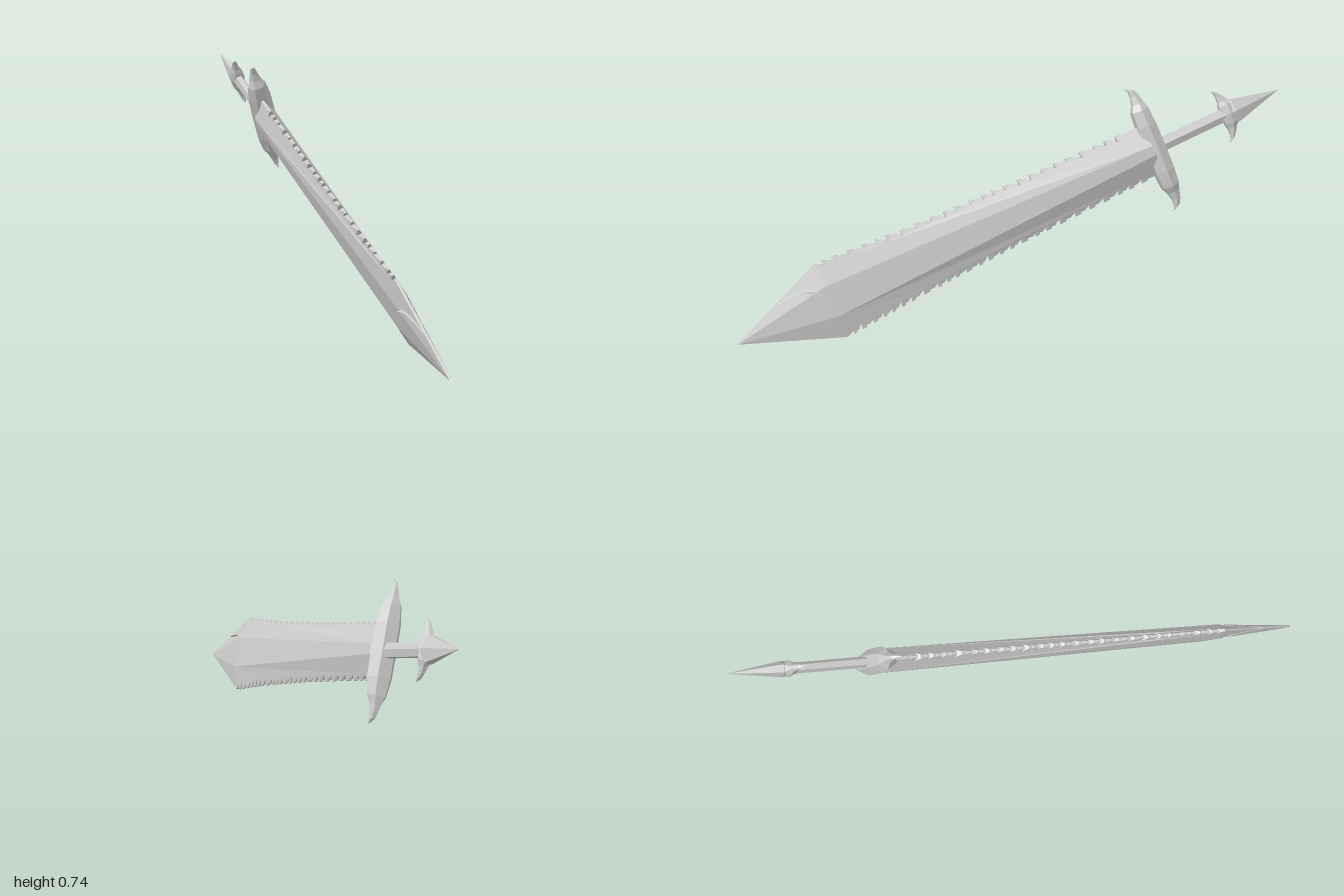
import * as THREE from 'three';

const material = new THREE.MeshStandardMaterial({ color: 0xcccccc, flatShading: true });

function meshFrom(positions, name) {
  const g = new THREE.BufferGeometry();
  g.setAttribute('position', new THREE.Float32BufferAttribute(positions, 3));
  g.computeVertexNormals();
  const mesh = new THREE.Mesh(g, material);
  mesh.name = name;
  return mesh;
}

// Hexagonal loft along x; stations are [x, y offset, half height, half depth].
function loft(stations, name) {
  const section = [[1, 0.5], [0, 1], [-1, 0.5], [-1, -0.5], [0, -1], [1, -0.5]];
  const out = [];
  const point = ([x, y, hy, hz], k) => [x, y + hy * section[k % 6][0], hz * section[k % 6][1]];
  for (let i = 0; i < stations.length - 1; i++) {
    for (let k = 0; k < 6; k++) {
      const a = point(stations[i], k), b = point(stations[i], k + 1);
      const c = point(stations[i + 1], k + 1), d = point(stations[i + 1], k);
      out.push(...a, ...b, ...c, ...a, ...c, ...d);
    }
  }
  return meshFrom(out, name);
}

// Crossbar lofted along y, mirrored from one half: [y, x, half x, half z].
function crossbar(half, name) {
  const lower = half.slice(1).reverse().map(([y, ...rest]) => [-y, ...rest]);
  const stations = [...lower, ...half].map(([y, x, hx, hz]) => [y, -x, hx, hz]);
  const mesh = loft(stations, name);
  mesh.geometry.rotateZ(Math.PI / 2);
  return mesh;
}

// Piecewise linear curve through [x, value] knots.
function curve(knots) {
  return (x) => {
    let i = 1;
    while (i < knots.length - 1 && x > knots[i][0]) i++;
    const [x0, v0] = knots[i - 1], [x1, v1] = knots[i];
    return v0 + (v1 - v0) * (x - x0) / (x1 - x0);
  };
}

const SHOULDER = 0.355, HILT = 1.63, EDGE = 0.004;
const edgeAt = curve([[0, 0], [SHOULDER, 0.143], [0.66, 0.122], [1.06, 0.106], [HILT, 0.095]]);
const ridgeAt = curve([[0, 0], [SHOULDER, 0.058], [HILT, 0.018]]);
const depthAt = curve([[0, EDGE], [SHOULDER, 0.027], [HILT, 0.042]]);

// Half thickness of the blade: flat centre, bevels down to the edges.
function thickness(x, y) {
  const over = Math.abs(y) - ridgeAt(x);
  if (over <= 1e-6) return depthAt(x);
  const t = Math.min(1, over / (edgeAt(x) - ridgeAt(x)));
  return depthAt(x) + (EDGE - depthAt(x)) * t;
}

// Chipped saw edge from shoulder to hilt.
function teeth(side, seed) {
  const random = () => (seed = (seed * 16807) % 2147483647) / 2147483647;
  const points = [[SHOULDER, side * 0.143]];
  let x = SHOULDER + 0.02;
  while (x < HILT - 0.07) {
    const step = 0.03 + random() * 0.035, depth = 0.008 + random() * 0.012;
    const profile = [[0, -depth * 0.5], [0.3, -depth], [0.22, 0.003], [0.6, 0.002], [0.66, -0.005], [0.9, -0.003]];
    for (const [f, d] of profile) {
      const px = x + f * step;
      points.push([px, side * (edgeAt(px) + d)]);
    }
    x += step;
  }
  points.push([HILT, side * edgeAt(HILT)]);
  return points;
}

function makeBlade() {
  const out = [];
  const tip = [0, 0];
  const upper = teeth(1, 4711), lower = teeth(-1, 1234);
  const ridge = (x, side) => [x, side * ridgeAt(x)];
  // The crack runs in from the upper tip edge and over the ridge
  const crackBack = [[0.175, edgeAt(0.175)], [0.23, 0.075], [0.295, 0.072], ridge(0.325, 1)];
  const crackEnd = [0.342, 0.031];
  const crackFront = [ridge(0.31, 1), [0.285, 0.064], [0.23, 0.066], [0.16, edgeAt(0.16)]];
  const r1 = ridge(SHOULDER, 1), r2 = ridge(SHOULDER, -1);
  const h1 = ridge(HILT, 1), h2 = ridge(HILT, -1);

  const facets = [
    [r2, h2, h1, r1],
    [r1, h1, ...upper.slice().reverse()],
    [...lower, h2, r2],
    [tip, lower[0], r2],
    [tip, r2, r1, crackBack[3], crackEnd, crackFront[0]],
    [tip, ...crackFront],
    [r1, upper[0], ...crackBack],
  ];
  for (const facet of facets) {
    const contour = facet.map(([x, y]) => new THREE.Vector2(x, y));
    if (THREE.ShapeUtils.isClockWise(contour)) contour.reverse();
    for (const tri of THREE.ShapeUtils.triangulateShape(contour, [])) {
      const corners = tri.map((i) => contour[i]);
      for (const p of corners) out.push(p.x, p.y, thickness(p.x, p.y));
      for (const p of corners.reverse()) out.push(p.x, p.y, -thickness(p.x, p.y));
    }
  }
  // Narrow walls around the whole outline
  const outline = [tip, ...lower, ...upper.slice().reverse(), ...crackBack, crackEnd, ...crackFront];
  outline.forEach((p, i) => {
    const q = outline[(i + 1) % outline.length];
    const tp = thickness(...p), tq = thickness(...q);
    out.push(...p, -tp, ...q, -tq, ...q, tq, ...p, -tp, ...q, tq, ...p, tp);
  });
  return meshFrom(out, 'blade');
}

export function createModel() {
  const sword = new THREE.Group();
  sword.name = 'sword';
  sword.add(makeBlade());

  // Leaf-shaped guard with horns curling toward the blade
  sword.add(crossbar([
    [0, 1.645, 0.036, 0.046], [0.09, 1.645, 0.035, 0.045], [0.15, 1.645, 0.031, 0.036],
    [0.175, 1.648, 0.022, 0.022], [0.205, 1.648, 0.015, 0.014], [0.226, 1.642, 0.011, 0.009],
    [0.244, 1.62, 0, 0],
  ], 'guard'));

  sword.add(loft([
    [1.64, 0, 0, 0], [1.64, 0, 0.024, 0.02], [1.94, 0, 0.023, 0.019], [1.95, 0, 0, 0],
  ], 'grip'));

  // Small horned crossbar and the spike of the pommel
  sword.add(crossbar([
    [0, 1.952, 0.03, 0.03], [0.035, 1.952, 0.027, 0.024], [0.052, 1.947, 0.018, 0.016],
    [0.075, 1.94, 0.011, 0.011], [0.09, 1.932, 0.007, 0.008], [0.103, 1.917, 0, 0],
  ], 'pommelHorns'));
  sword.add(loft([
    [1.925, 0, 0, 0], [1.925, 0, 0.025, 0.02], [1.975, 0, 0.044, 0.028], [2.164, 0, 0, 0],
  ], 'pommelSpike'));

  // Lay the sword along its slanted axis, tip low and to the front
  const tip = new THREE.Vector3(-0.238, 0.02, 1), end = new THREE.Vector3(0.236, 0.695, -1);
  const along = end.clone().sub(tip).normalize();
  const across = new THREE.Vector3(-0.383, 0.897, 0.214);
  across.addScaledVector(along, -across.dot(along)).normalize();
  const normal = along.clone().cross(across);
  sword.quaternion.setFromRotationMatrix(new THREE.Matrix4().makeBasis(along, across, normal));
  sword.position.copy(tip);

  const model = new THREE.Group();
  model.name = 'model';
  model.add(sword);
  return model;
}
